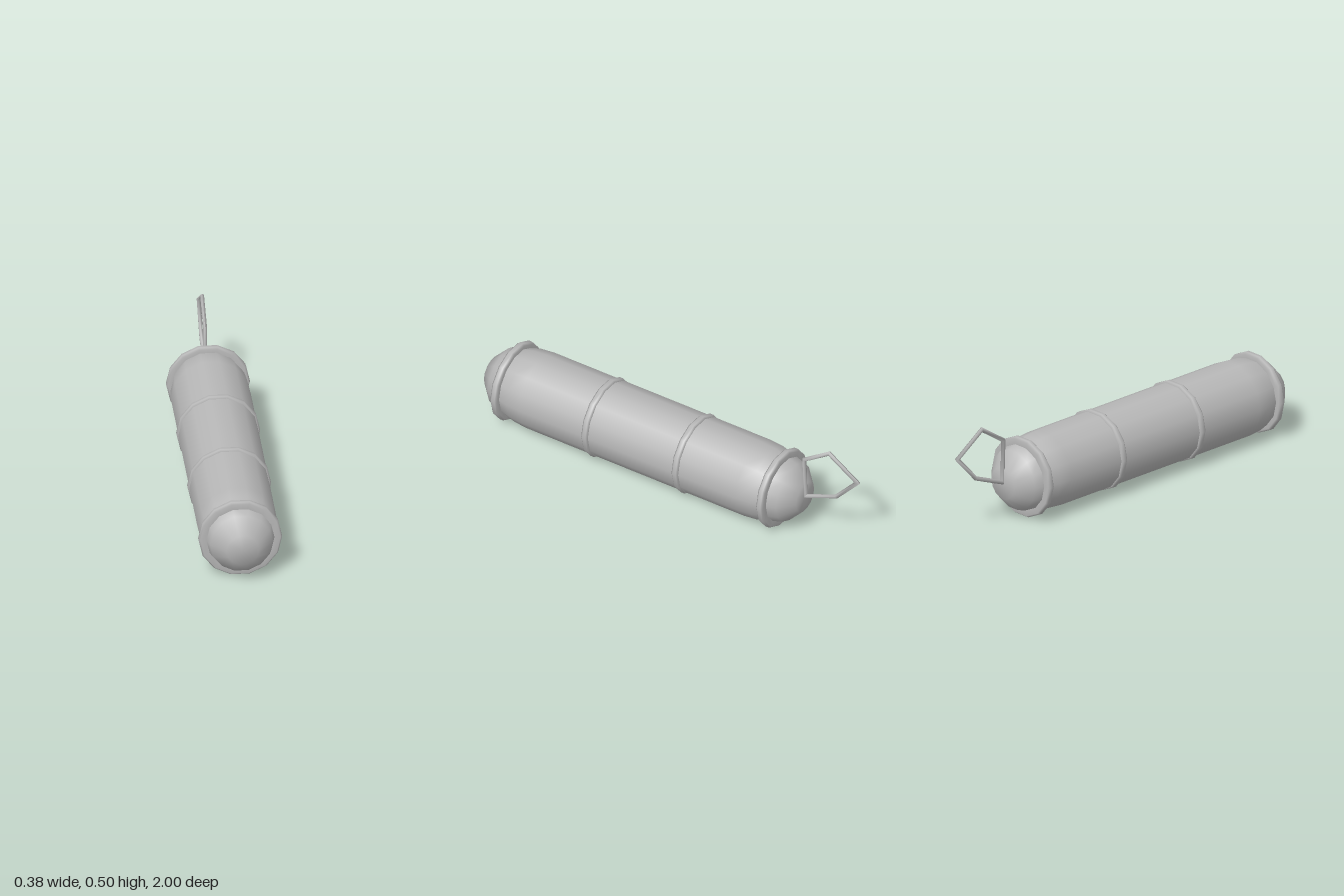
import * as THREE from 'three';

const SIDES = 14;
const AXIS_Y = 0.187;

// Turned part whose axis runs along z; profile rows are [radius, z], z ascending on the outside
function turned(name, profile, material) {
  const pts = profile.map(([r, z]) => new THREE.Vector2(r, z));
  const geo = new THREE.LatheGeometry(pts, SIDES, Math.PI / 2);
  geo.rotateX(Math.PI / 2);
  const mesh = new THREE.Mesh(geo, material);
  mesh.name = name;
  mesh.position.y = AXIS_Y;
  return mesh;
}

// Closed wire loop with mitred corners, in the plane x = 0; points are [-z, y], anticlockwise
function wireLoop(points, radius, sides) {
  const n = points.length;
  const geo = new THREE.TorusGeometry(1, radius, sides, n);
  const pos = geo.attributes.position;
  const P = points.map(([x, y]) => new THREE.Vector2(x, y));
  for (let j = 0; j <= sides; j++) {
    const v = (j / sides) * Math.PI * 2;
    for (let i = 0; i <= n; i++) {
      const p = P[i % n];
      const a = p.clone().sub(P[(i + n - 1) % n]).normalize();
      const b = P[(i + 1) % n].clone().sub(p).normalize();
      const out = new THREE.Vector2(a.y + b.y, -a.x - b.x).normalize();
      const miter = radius / (out.x * a.y - out.y * a.x);
      out.multiplyScalar(miter * Math.cos(v));
      pos.setXYZ(j * (n + 1) + i, p.x + out.x, p.y + out.y, radius * Math.sin(v));
    }
  }
  geo.computeVertexNormals();
  geo.rotateY(Math.PI / 2);
  return geo;
}

export function createModel() {
  const model = new THREE.Group();
  model.name = 'canister';
  const metal = new THREE.MeshStandardMaterial({ color: 0xb8b8b8 });
  metal.name = 'grey metal';

  // Long body with rounded ends, mirrored about its middle
  const middle = 0.15;
  const half = [[0, 0.85], [0.075, 0.85], [0.143, 0.785], [0.16, 0.725], [0.177, 0.66], [0.183, 0.59]];
  const profile = [
    ...half.map(([r, z]) => [r, middle - z]),
    ...half.slice().reverse().map(([r, z]) => [r, middle + z]),
  ];
  model.add(turned('body', profile, metal));

  // Bands around the body
  const bands = [['frontBand', 0.875], ['frontMiddleBand', 0.38], ['rearMiddleBand', -0.112], ['rearBand', -0.573]];
  for (const [name, z] of bands) {
    const section = [[0.15, -0.016], [0.183, -0.018], [0.191, -0.009], [0.191, 0.009], [0.183, 0.018], [0.15, 0.016]];
    model.add(turned(name, section.map(([r, dz]) => [r, z + dz]), metal));
  }

  // Hanging loop at the rear
  const loop = new THREE.Mesh(
    wireLoop([[0.703, 0.195], [0.87, 0.262], [0.985, 0.388], [0.832, 0.491], [0.697, 0.4]], 0.01, 6),
    metal
  );
  loop.name = 'hangingLoop';
  model.add(loop);

  return model;
}
